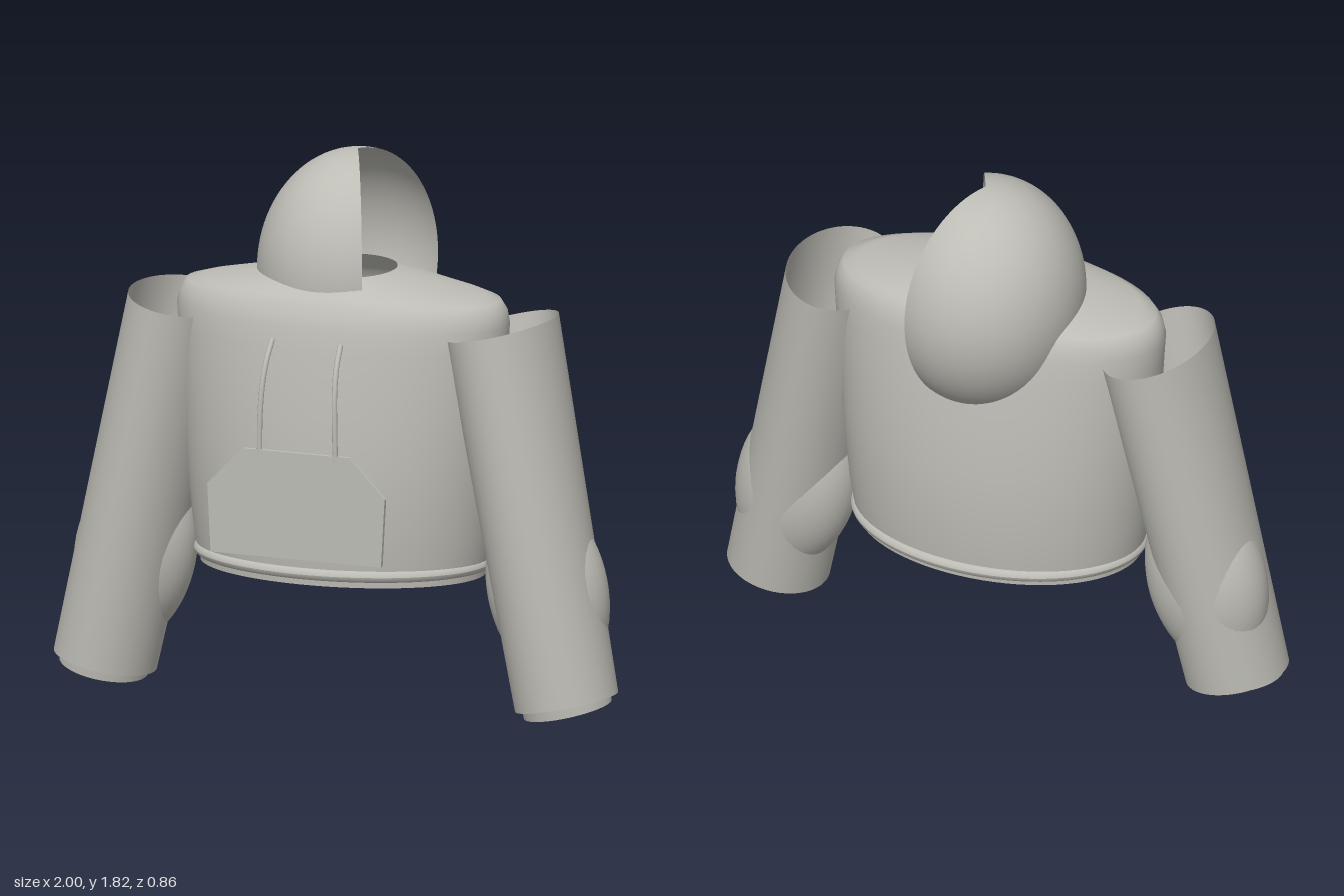
import * as THREE from 'three';

const fabric = new THREE.MeshStandardMaterial({ color: 0xbdbcb5, side: THREE.DoubleSide });
fabric.name = 'warm grey fabric';

function add(parent, geometry, name) {
  const mesh = new THREE.Mesh(geometry, fabric);
  mesh.name = name;
  parent.add(mesh);
  return mesh;
}

// Open skin through elliptical rings [y, centreZ, radiusX, radiusZ], bottom to top
function loft(rings, n = 72) {
  const pos = [], idx = [];
  rings.forEach(([y, cz, rx, rz], r) => {
    for (let i = 0; i < n; i++) {
      const a = (i / n) * Math.PI * 2;
      pos.push(Math.cos(a) * rx, y, cz + Math.sin(a) * rz);
      if (r === rings.length - 1) continue;
      const p = r * n + i, q = r * n + (i + 1) % n;
      idx.push(p, p + n, q, q, p + n, q + n);
    }
  });
  const g = new THREE.BufferGeometry();
  g.setAttribute('position', new THREE.Float32BufferAttribute(pos, 3));
  g.setIndex(idx);
  g.computeVertexNormals();
  return g;
}

function makeTorso(root) {
  add(root, loft([
    [0.47, 0.04, 0.505, 0.345], [0.58, 0.04, 0.522, 0.358], [0.72, 0.04, 0.537, 0.362],
    [0.85, 0.04, 0.55, 0.36], [1.0, 0.04, 0.562, 0.347], [1.12, 0.04, 0.572, 0.333],
    [1.22, 0.04, 0.58, 0.318], [1.29, 0.04, 0.586, 0.306], [1.335, 0.038, 0.578, 0.292],
    [1.37, 0.037, 0.555, 0.272], [1.385, 0.037, 0.5, 0.258], [1.445, 0.037, 0.175, 0.193],
  ]), 'torso');

  // Waist roll and the short band below it
  const roll = new THREE.TorusGeometry(1, 0.02, 12, 96);
  const p = roll.attributes.position, v = new THREE.Vector3();
  for (let i = 0; i < p.count; i++) {
    v.fromBufferAttribute(p, i);
    const a = Math.atan2(v.y, v.x), d = Math.hypot(v.x, v.y) - 1;
    p.setXYZ(i, Math.cos(a) * (0.496 + d), v.z, 0.04 + Math.sin(a) * (0.345 + d));
  }
  // Swapping axes mirrors the ring, so restore the triangle order
  roll.index.array.reverse();
  roll.computeVertexNormals();
  add(root, roll, 'waistRoll').position.y = 0.475;
  add(root, loft([[0.435, 0.04, 0.495, 0.338], [0.48, 0.04, 0.498, 0.341]]), 'waistBand');
}

function makeHood(root) {
  // Ellipsoid shell with a wide wedge left open on one side
  const half = THREE.MathUtils.degToRad(117.5);
  const hood = add(root, new THREE.SphereGeometry(1, 56, 40, -half, half * 2, 0, Math.PI * 0.8), 'hood');
  hood.scale.set(0.33, 0.4, 0.353);
  hood.position.set(0, 1.42, -0.078);
}

function makeChestPack(root) {
  const outline = [[-0.31, 0.53], [0.305, 0.53], [0.318, 0.76], [0.19, 0.89], [-0.195, 0.89], [-0.322, 0.76]];
  const shape = new THREE.Shape(outline.map(([x, y]) => new THREE.Vector2(x, y)));
  const plate = add(root, new THREE.ExtrudeGeometry(shape, { depth: 0.014, bevelEnabled: false }), 'chestPlate');
  plate.position.z = 0.414;

  for (const s of [-1, 1]) {
    const path = new THREE.CatmullRomCurve3([
      [0.137, 0.87, 0.42], [0.135, 1.0, 0.421], [0.131, 1.1, 0.412],
      [0.127, 1.18, 0.388], [0.123, 1.25, 0.345],
    ].map(([x, y, z]) => new THREE.Vector3(s * x, y, z)));
    add(root, new THREE.TubeGeometry(path, 28, 0.009, 10), 'chestStrap');
  }
}

function makeArm(root, s) {
  // Local y runs up the sleeve from the cuff
  const arm = new THREE.Group();
  arm.name = s > 0 ? 'leftArm' : 'rightArm';
  arm.position.set(s * 0.832, 0.057, 0);
  arm.rotation.z = s * 0.207;
  root.add(arm);

  add(arm, loft([[0, 0.102, 0.173, 0.178], [0.6, 0.073, 0.175, 0.214], [1.262, 0.04, 0.175, 0.256]]), 'sleeve');

  const elbow = add(arm, new THREE.SphereGeometry(1, 40, 28), 'elbowPad');
  elbow.scale.set(0.207, 0.32, 0.165);
  elbow.position.set(-s * 0.012, 0.375, 0.055);

  const cuff = add(arm, new THREE.CylinderGeometry(1, 1, 0.1, 48), 'cuff');
  cuff.scale.set(0.15, 1, 0.143);
  cuff.rotation.x = 0.08;
  cuff.position.set(0, 0.025, 0.108);
}

export function createModel() {
  const root = new THREE.Group();
  root.name = 'jacket';
  makeTorso(root);
  makeHood(root);
  makeChestPack(root);
  for (const s of [-1, 1]) makeArm(root, s);
  return root;
}
